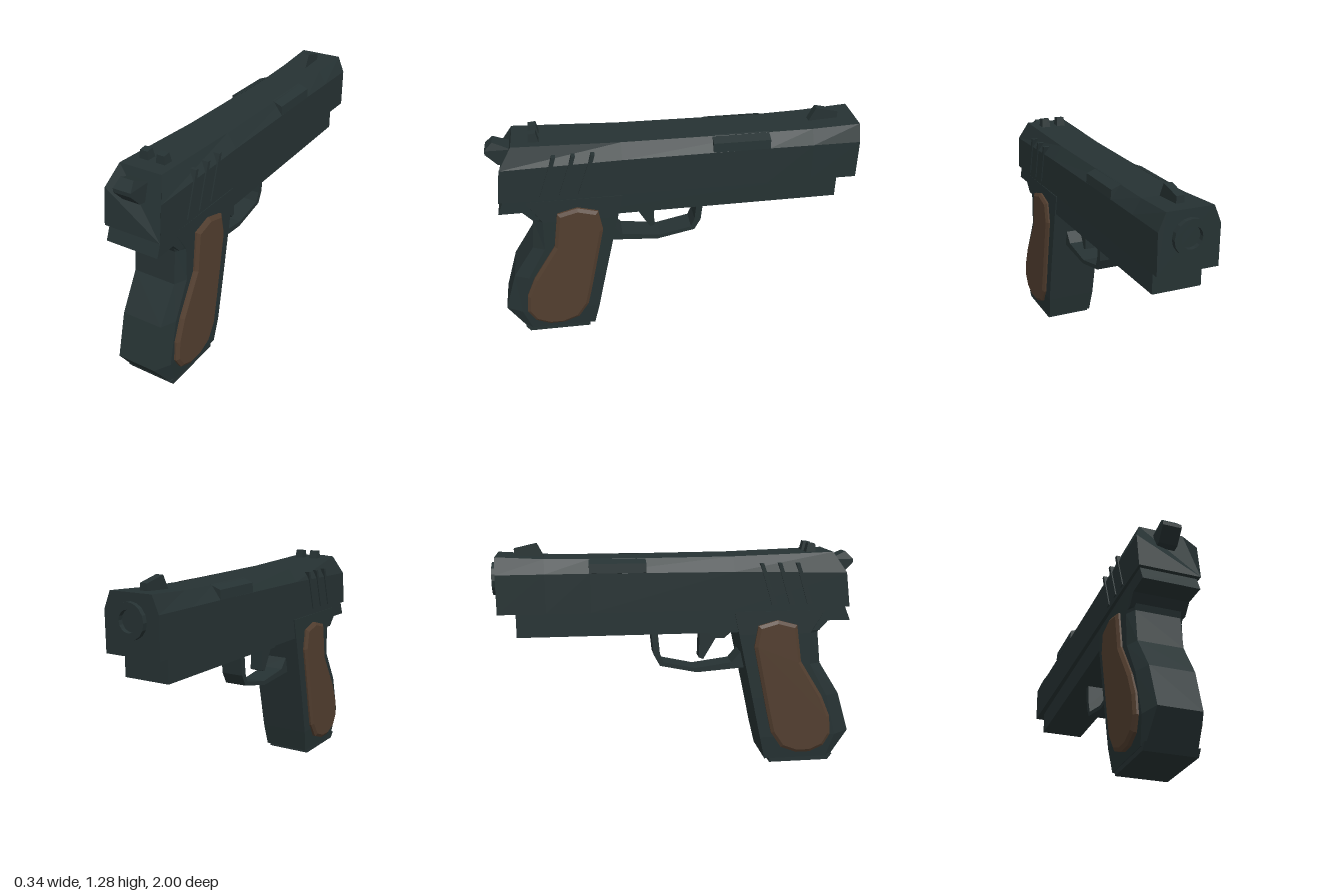
import * as THREE from 'three';

const steel = new THREE.MeshStandardMaterial({ color: 0x263233, flatShading: true });
steel.name = 'dark steel';
const wood = new THREE.MeshStandardMaterial({ color: 0x523e2f, flatShading: true });
wood.name = 'brown wood';

// Skin a list of convex rings (arrays of [x, y, z]) and cap both ends.
function loft(rings) {
  const n = rings[0].length, pos = [], tris = [];
  const tri = (a, b, c) => tris.push([a, b, c]);
  for (let r = 0; r < rings.length - 1; r++) {
    for (let i = 0; i < n; i++) {
      const j = (i + 1) % n, A = rings[r], B = rings[r + 1];
      tri(A[i], A[j], B[j]);
      tri(A[i], B[j], B[i]);
    }
  }
  const first = rings[0], last = rings[rings.length - 1];
  for (let i = 1; i < n - 1; i++) {
    tri(first[0], first[i + 1], first[i]);
    tri(last[0], last[i], last[i + 1]);
  }
  // Turn every face outward, whichever way the rings run
  let volume = 0;
  for (const [a, b, c] of tris) {
    volume += a[0] * (b[1] * c[2] - b[2] * c[1]) + a[1] * (b[2] * c[0] - b[0] * c[2]) + a[2] * (b[0] * c[1] - b[1] * c[0]);
  }
  for (const [a, b, c] of tris) pos.push(...a, ...(volume > 0 ? b : c), ...(volume > 0 ? c : b));
  const g = new THREE.BufferGeometry();
  g.setAttribute('position', new THREE.Float32BufferAttribute(pos, 3));
  g.computeVertexNormals();
  return g;
}

// Side profile of [z, y] points, extruded across x between x0 and x1.
function slab(profile, x0, x1) {
  const shape = new THREE.Shape(profile.map(([z, y]) => new THREE.Vector2(z, y)));
  const g = new THREE.ExtrudeGeometry(shape, { depth: x1 - x0, bevelEnabled: false });
  return g.rotateY(-Math.PI / 2).translate(x1, 0, 0);
}

// Move vertices by a rule
function bend(g, rule) {
  const p = g.attributes.position, v = new THREE.Vector3();
  for (let i = 0; i < p.count; i++) {
    rule(v.fromBufferAttribute(p, i));
    p.setXYZ(i, v.x, v.y, v.z);
  }
  g.computeVertexNormals();
  return g;
}

export function createModel() {
  const model = new THREE.Group();
  const add = (name, geometry, material = steel) => {
    const mesh = new THREE.Mesh(geometry, material);
    mesh.name = name;
    model.add(mesh);
  };

  // Slide: bottom, shoulder and top edge, each with its own z so the rear slopes
  const slideRing = (w, [yb, zb], [ym, zm], t, [yt, zt]) => [
    [w, yb, zb], [w, ym, zm], [t, yt, zt], [-t, yt, zt], [-w, ym, zm], [-w, yb, zb],
  ];
  add('slide', loft([
    slideRing(0.162, [0.918, 0.955], [1.11, 0.93], 0.12, [1.22, 0.86]),
    slideRing(0.162, [0.918, 0.3], [1.125, 0.3], 0.112, [1.203, 0.3]),
    slideRing(0.16, [0.918, -0.48], [1.13, -0.48], 0.108, [1.2, -0.48]),
    slideRing(0.16, [0.918, -0.72], [1.13, -0.72], 0.115, [1.205, -0.72]),
    slideRing(0.16, [0.918, -0.975], [1.13, -0.975], 0.122, [1.22, -0.975]),
  ]));

  // Frame rail with rear tang, narrowing towards the muzzle
  add('frame', bend(slab([
    [0.93, 0.925], [0.965, 0.84], [0.84, 0.84], [0.79, 0.785], [-0.88, 0.785], [-0.88, 0.925],
  ], -0.15, 0.15), (v) => { v.x *= 0.93 + v.z * 0.07; }));

  // Grip, lofted from the butt upward, with chamfered back strap
  const gripRing = ([y, front, back, w, strap, chamfer, backY = y]) => [
    [w, y, front], [w, y, back - chamfer], [strap, backY, back],
    [-strap, backY, back], [-w, y, back - chamfer], [-w, y, front],
  ];
  add('grip', loft([
    [0.025, 0.5, 0.895, 0.138, 0.125, 0.03],
    [0.16, 0.468, 1.0, 0.148, 0.11, 0.09, 0.17],
    [0.4, 0.417, 0.93, 0.15, 0.115, 0.08],
    [0.59, 0.375, 0.81, 0.15, 0.12, 0.065],
    [0.77, 0.335, 0.79, 0.15, 0.12, 0.05],
    [0.9, 0.307, 0.85, 0.148, 0.12, 0.03],
  ].map(gripRing)));
  add('magazineBase', slab([[0.53, 0], [0.88, 0], [0.905, 0.035], [0.53, 0.035]], -0.135, 0.135));

  // Wooden grip panels with bevelled rims
  const panel = [
    [0.66, 0.82], [0.55, 0.85], [0.44, 0.82], [0.42, 0.7], [0.5, 0.32], [0.53, 0.19], [0.59, 0.1],
    [0.68, 0.065], [0.76, 0.065], [0.84, 0.1], [0.88, 0.17], [0.87, 0.28], [0.82, 0.4], [0.69, 0.61],
  ];
  for (const side of [1, -1]) {
    const outer = new THREE.Shape(panel.map(([z, y]) => new THREE.Vector2(z, y)));
    const g = new THREE.ExtrudeGeometry(outer, {
      depth: 0.022, bevelThickness: 0.012, bevelSize: 0.018, bevelOffset: -0.018, bevelSegments: 1,
    });
    g.rotateY(-Math.PI / 2).translate(side * 0.149 + 0.011, 0, 0);
    add(side > 0 ? 'leftGripPanel' : 'rightGripPanel', g, wood);
  }

  // Trigger and guard
  add('triggerGuard', slab([
    [0.39, 0.56], [0.11, 0.54], [-0.1, 0.585], [-0.135, 0.65], [-0.15, 0.79], [-0.113, 0.79],
    [-0.1, 0.655], [-0.08, 0.605], [0.1, 0.565], [0.31, 0.592], [0.36, 0.65], [0.39, 0.65],
  ], -0.065, 0.065));
  add('trigger', slab([
    [0.31, 0.79], [0.305, 0.76], [0.27, 0.73], [0.22, 0.73], [0.15, 0.61], [0.125, 0.62], [0.13, 0.79],
  ], -0.04, 0.04));

  // Hammer, narrower at the top
  add('hammer', bend(slab([
    [0.86, 1.17], [0.9, 1.08], [0.94, 1.085], [1.0, 1.15], [1.0, 1.17], [0.957, 1.212],
  ], -0.05, 0.05), (v) => { if (v.y > 1.18) v.x *= 0.75; }));

  // Sights
  for (const side of [1, -1]) {
    add('rearSight', bend(slab([
      [0.775, 1.2], [0.77, 1.26], [0.73, 1.265], [0.715, 1.2],
    ], side * 0.048 - 0.027, side * 0.048 + 0.027), (v) => {
      if (v.y > 1.23) v.x += (side * 0.048 - v.x) * 0.2;
    }));
  }
  add('frontSight', slab([[-0.72, 1.2], [-0.76, 1.277], [-0.88, 1.25], [-0.88, 1.2]], -0.021, 0.021));

  // Slanted grip ridges and port covers on both sides of the slide
  for (const side of [1, -1]) {
    for (let i = 0; i < 3; i++) {
      const z = 0.74 - i * 0.1;
      const ridge = slab([[z, 0.94], [z - 0.08, 1.168], [z - 0.1, 1.168], [z - 0.03, 0.94]], -0.019, 0.019);
      add('slideRidge', ridge.translate(side * 0.149, 0, 0));
    }
    const portRing = (z) => [[0.15, 1.125, z], [0.162, 1.13, z], [0.158, 1.18, z], [0.1, 1.203, z]]
      .map(([x, y, d]) => [side * x, y, d]);
    add('portCover', loft([portRing(-0.18), portRing(-0.485)]));
  }

  // Muzzle ring and recessed bore floor
  const ring = new THREE.Shape(), hole = new THREE.Path();
  ring.absarc(0, 0, 0.09, 0, Math.PI * 2);
  hole.absarc(0, 0, 0.055, 0, Math.PI * 2);
  ring.holes.push(hole);
  const muzzle = new THREE.ExtrudeGeometry(ring, { depth: 0.04, bevelEnabled: false, curveSegments: 8 });
  add('muzzleRing', muzzle.translate(0, 1.09, -1));
  return model;
}
